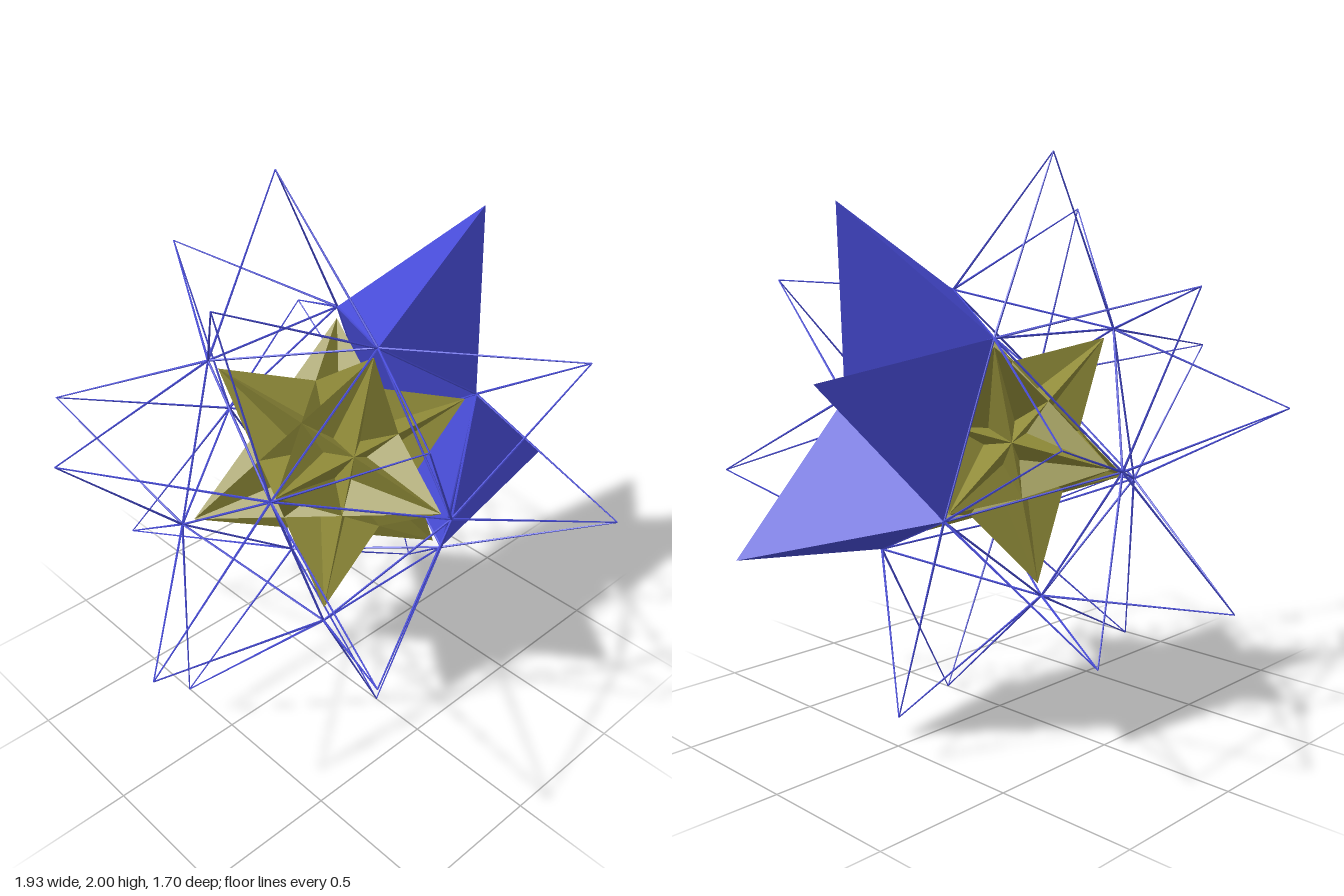
import * as THREE from 'three';

const PHI = (1 + Math.sqrt(5)) / 2;
const TILT = -0.623;
const CENTRE = new THREE.Vector3(0, 1, 0.017);
const SHELL = 0.577; // corner radius of the outer icosahedron
const TIP = 1.034;   // radius of the spike tips
const CORE = 0.532;  // tip radius of the inner star

// Unit icosahedron corners, tilted about x
const corners = [];
for (const a of [-1, 1]) for (const b of [-PHI, PHI])
  for (const c of [[0, a, b], [a, b, 0], [b, 0, a]])
    corners.push(new THREE.Vector3(...c).normalize().applyAxisAngle(new THREE.Vector3(1, 0, 0), TILT));

const at = (dir, radius) => dir.clone().multiplyScalar(radius).add(CENTRE);

// All corner triples whose sides have the given length, wound outwards
function triples(side) {
  const near = (p, q) => Math.abs(p.distanceTo(q) - side) < 0.01;
  const out = [];
  corners.forEach((a, i) => corners.forEach((b, j) => corners.forEach((c, k) => {
    if (i < j && j < k && near(a, b) && near(b, c) && near(a, c)) {
      const n = b.clone().sub(a).cross(c.clone().sub(a));
      out.push(n.dot(a) > 0 ? [a, b, c] : [a, c, b]);
    }
  })));
  return out;
}

function triangleMesh(name, triangles, material) {
  const geometry = new THREE.BufferGeometry().setFromPoints(triangles.flat());
  geometry.computeVertexNormals();
  const mesh = new THREE.Mesh(geometry, material);
  mesh.name = name;
  return mesh;
}

// Thin rod from p to q
function rod(name, p, q, rp, rq, material) {
  const d = q.clone().sub(p);
  const mesh = new THREE.Mesh(new THREE.CylinderGeometry(rq, rp, d.length(), 5), material);
  mesh.position.copy(p).addScaledVector(d, 0.5);
  mesh.quaternion.setFromUnitVectors(new THREE.Vector3(0, 1, 0), d.normalize());
  mesh.name = name;
  return mesh;
}

export function createModel() {
  const model = new THREE.Group();
  model.name = 'stellatedPolyhedron';
  const olive = new THREE.MeshStandardMaterial({ color: 0x8f8a38, flatShading: true, side: THREE.DoubleSide });
  const blue = new THREE.MeshStandardMaterial({ color: 0x484cd8, flatShading: true, side: THREE.DoubleSide });
  const edge = 2 / Math.sqrt(1 + PHI * PHI);

  // Inner star: twenty large triangles crossing one another
  model.add(triangleMesh('innerStar',
    triples(edge * PHI).map(t => t.map(v => at(v, CORE))), olive));

  const solidSpikes = new THREE.Group();
  solidSpikes.name = 'solidSpikes';
  const wireSpikes = new THREE.Group();
  wireSpikes.name = 'wireSpikes';
  const shell = new THREE.Group();
  shell.name = 'shellEdges';
  model.add(solidSpikes, wireSpikes, shell);

  // One spike on each face of the shell; three are solid, the front one is left off
  for (const face of triples(edge)) {
    const [a, b, c] = face.map(v => at(v, SHELL));
    const dir = face[0].clone().add(face[1]).add(face[2]).normalize();
    const tip = at(dir, TIP);
    if (Math.abs(tip.x) < 0.01 && tip.z > 0.8) continue;
    if (tip.x > 0.9 || (tip.x > 0.5 && tip.y > 1.5)) {
      solidSpikes.add(triangleMesh('solidSpike',
        [[a, b, tip], [b, c, tip], [c, a, tip], [a, c, b]], blue));
    } else {
      for (const p of [a, b, c]) wireSpikes.add(rod('spikeEdge', p, tip, 0.0045, 0.0025, blue));
    }
  }

  // Edges of the shell under the spikes
  corners.forEach((p, i) => corners.slice(i + 1).forEach(q => {
    if (Math.abs(p.distanceTo(q) - edge) < 0.01)
      shell.add(rod('shellEdge', at(p, SHELL), at(q, SHELL), 0.004, 0.004, blue));
  }));

  return model;
}
